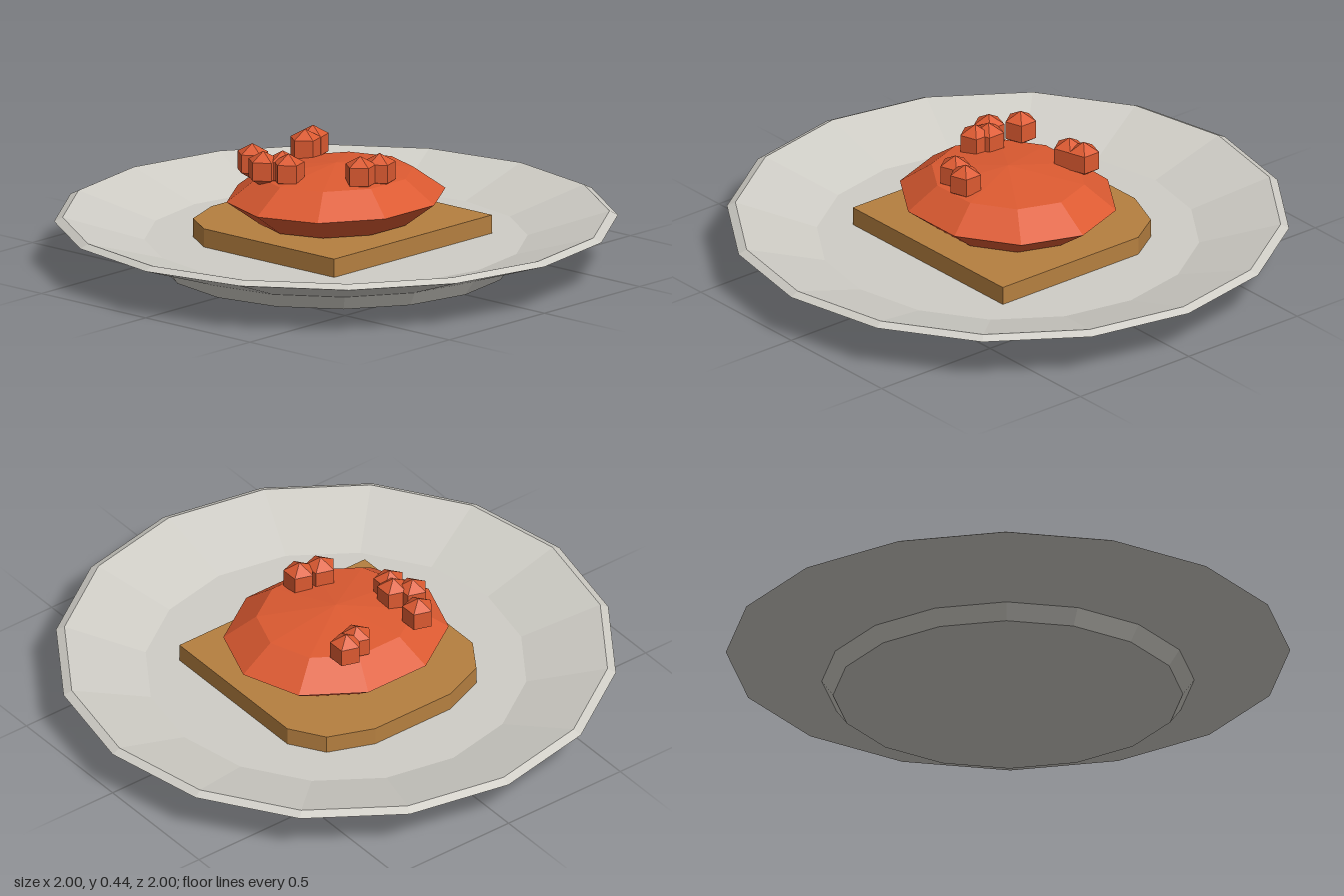
import * as THREE from 'three';

const flat = (name, color) => {
  const m = new THREE.MeshStandardMaterial({ color, flatShading: true });
  m.name = name;
  return m;
};

export function createModel() {
  const plateGrey = flat('plate grey', 0xcfcdc6);
  const breadBrown = flat('bread brown', 0xb57f40);
  const spreadRed = flat('spread red', 0xdc5a31);

  const model = new THREE.Group();
  model.name = 'toastOnPlate';
  const add = (name, geometry, material, x = 0, y = 0, z = 0) => {
    const mesh = new THREE.Mesh(geometry, material);
    mesh.name = name;
    mesh.position.set(x, y, z);
    model.add(mesh);
    return mesh;
  };

  // Plate: closed profile from the foot, around the rim, to the inner floor
  const profile = [[0, 0], [0.62, 0], [0.66, 0.055], [1, 0.17], [0.97, 0.185], [0.68, 0.1], [0, 0.1]]
    .map(([r, y]) => new THREE.Vector2(r, y));
  add('plate', new THREE.LatheGeometry(profile, 16), plateGrey);

  // Bread slice: square front, bevelled crown at the back (shape y becomes -z)
  const half = [[0.415, -0.37], [0.415, 0.255], [0.335, 0.38], [0.168, 0.445]];
  const outline = [...half, ...half.map(([x, y]) => [-x, y]).reverse()]
    .map(([x, y]) => new THREE.Vector2(x, y));
  const slice = new THREE.ExtrudeGeometry(new THREE.Shape(outline), { depth: 0.067, bevelEnabled: false });
  add('breadSlice', slice.rotateX(-Math.PI / 2), breadBrown, 0, 0.1, 0);

  // Spread: low-poly flattened mound
  const mound = new THREE.SphereGeometry(1, 10, 4).scale(0.415, 0.12, 0.372);
  add('spread', mound, spreadRed, 0, 0.255, 0);

  // Chunks scattered over the spread
  const chunk = new THREE.SphereGeometry(0.066, 5, 3);
  [
    [-0.197, -0.222], [0.077, -0.218], [0.136, -0.235], [-0.25, -0.12],
    [-0.198, -0.075], [-0.217, -0.03], [-0.072, 0.183], [0.007, 0.203],
  ].forEach(([x, z], i) => add(`chunk${i + 1}`, chunk, spreadRed, x, 0.378, z));

  return model;
}
